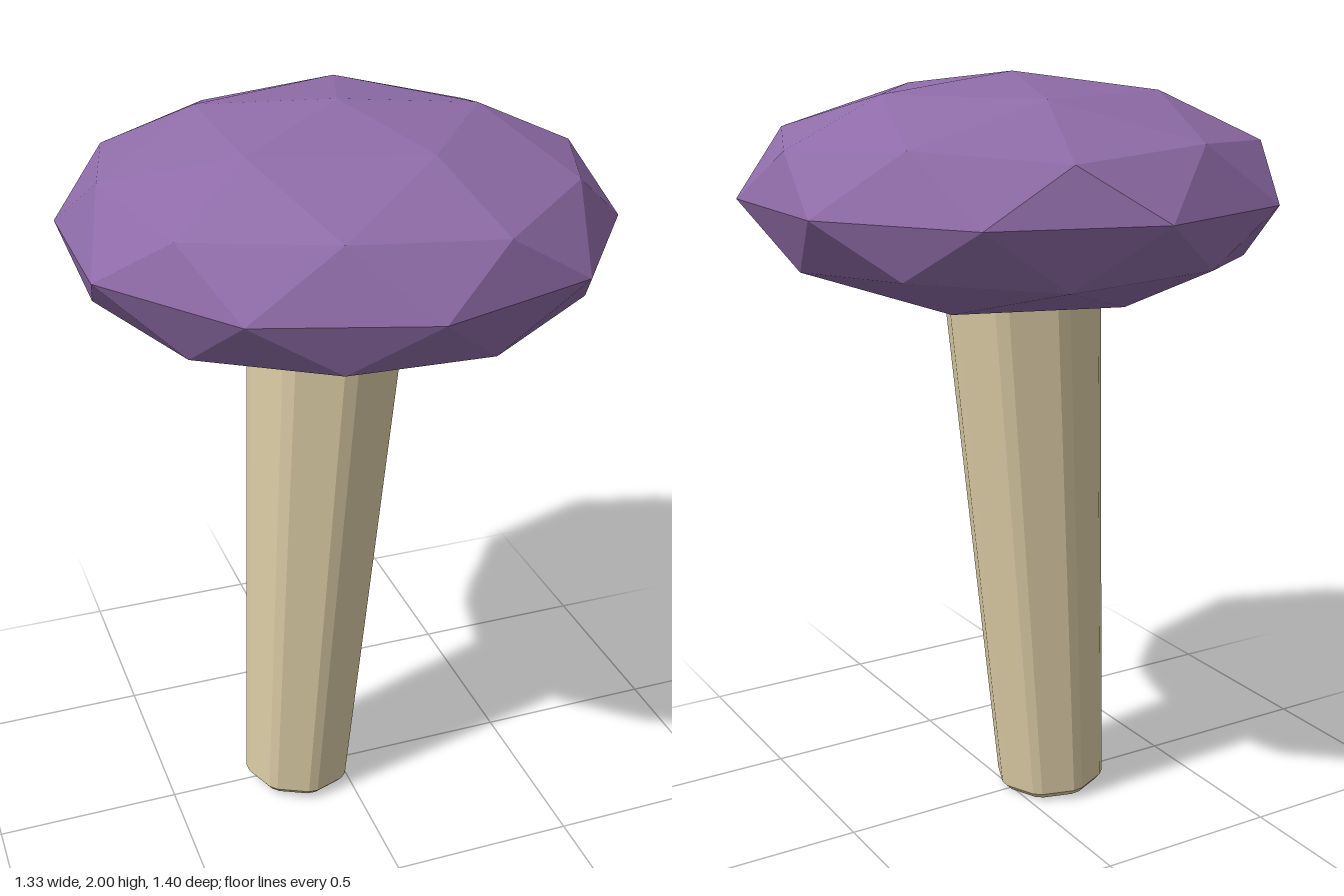
import * as THREE from 'three';

const purple = new THREE.MeshStandardMaterial({ color: 0x8f6ca8, flatShading: true });
purple.name = 'purple cap';
const tan = new THREE.MeshStandardMaterial({ color: 0xdccca6, flatShading: true });
tan.name = 'tan stem';

// Squashed faceted ball with a corner pointing straight up
function createCap() {
  const geometry = new THREE.IcosahedronGeometry(1, 1);
  geometry.rotateZ(-Math.atan(2 / (1 + Math.sqrt(5))));
  geometry.scale(0.7, 0.3, 0.7);
  const cap = new THREE.Mesh(geometry, purple);
  cap.name = 'cap';
  cap.position.y = 1.7;
  return cap;
}

// Tapered octagonal post with narrow bevels along its corners and foot
function createStem() {
  const profile = [[0, 0], [0.14, 0], [0.156, 0.018], [0.222, 1.6], [0, 1.6]]
    .map(([r, y]) => new THREE.Vector2(r, y));
  const geometry = new THREE.LatheGeometry(profile, 16);
  const p = geometry.attributes.position;
  const bevel = THREE.MathUtils.degToRad(5);
  const shrink = Math.cos(Math.PI / 8) / Math.cos(Math.PI / 8 - bevel);
  for (let i = 0; i < p.count; i++) {
    // Pair the sixteen sides up around eight corners
    const side = Math.floor(i / profile.length) % 16;
    const angle = Math.floor(side / 2) * Math.PI / 4 + (side % 2 ? bevel : -bevel);
    const radius = profile[i % profile.length].x * shrink;
    p.setX(i, radius * Math.sin(angle));
    p.setZ(i, radius * Math.cos(angle));
  }
  geometry.computeVertexNormals();
  const stem = new THREE.Mesh(geometry, tan);
  stem.name = 'stem';
  stem.position.set(-0.128, 0.01, 0);
  stem.rotation.z = -0.069;
  return stem;
}

export function createModel() {
  const mushroom = new THREE.Group();
  mushroom.name = 'mushroom';
  mushroom.add(createCap(), createStem());
  return mushroom;
}
